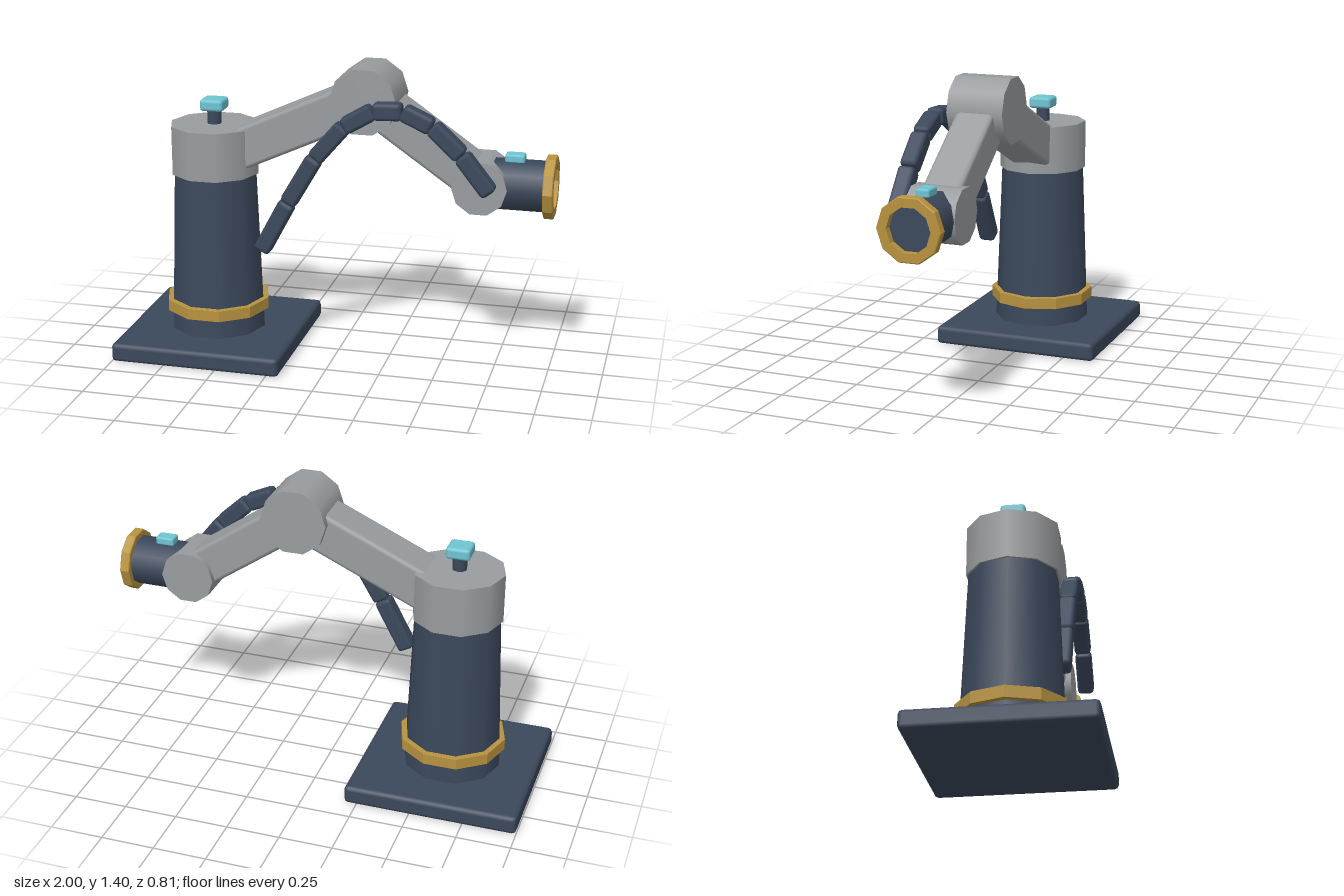
import * as THREE from 'three';
import { RoundedBoxGeometry } from 'three/addons/geometries/RoundedBoxGeometry.js';

const SIDES = 10;

export function createModel() {
  const mat = (name, color) => {
    const m = new THREE.MeshStandardMaterial({ color });
    m.name = name;
    return m;
  };
  const navy = mat('navy', 0x3b485b);
  const grey = mat('grey', 0x9a9d9f);
  const gold = mat('gold', 0xb8933f);
  const cyan = mat('cyan', 0x6fc4d3);

  const model = new THREE.Group();
  model.name = 'robotArm';

  const add = (name, geometry, material, x, y, z = 0) => {
    const mesh = new THREE.Mesh(geometry, material);
    mesh.name = name;
    mesh.position.set(x, y, z);
    model.add(mesh);
    return mesh;
  };
  const box = (w, h, d, bevel) => new RoundedBoxGeometry(w, h, d, 1, bevel);

  // Ten-sided cylinders: upright ones and z-axis ones have corners at +-x
  const upright = (rTop, rBottom, h) =>
    new THREE.CylinderGeometry(rTop, rBottom, h, SIDES).rotateY(Math.PI / 2);
  const crosswise = (r, d) => upright(r, r, d).rotateX(Math.PI / 2);

  // Faceted ring with a rectangular, slightly chamfered section
  const ring = (inner, outer, h, c = 0.004) => {
    const b = h / 2;
    const profile = [
      [inner, -b], [outer - c, -b], [outer, -b + c],
      [outer, b - c], [outer - c, b], [inner, b], [inner, -b],
    ].map(([x, y]) => new THREE.Vector2(x, y));
    const g = new THREE.LatheGeometry(profile, SIDES).toNonIndexed();
    g.computeVertexNormals();
    return g;
  };

  // Bevelled bar laid between two points in the xy plane
  const bar = (name, a, b, z, thick, depth, bevel, material) => {
    const dx = b[0] - a[0], dy = b[1] - a[1];
    const g = box(Math.hypot(dx, dy), thick, depth, bevel);
    const mesh = add(name, g, material, (a[0] + b[0]) / 2, (a[1] + b[1]) / 2, z);
    mesh.rotation.z = Math.atan2(dy, dx);
  };

  // Base and column
  const cx = -0.597;
  add('basePlate', box(0.81, 0.088, 0.81, 0.02), navy, -0.595, 0.044);
  add('column', upright(0.2, 0.23, 0.77), navy, cx, 0.465);
  add('columnRing', ring(0.21, 0.25, 0.055, 0.001).rotateY(Math.PI / 2), gold, cx, 0.207);
  add('shoulder', upright(0.21, 0.21, 0.23), grey, cx, 0.965);

  // Push button on the shoulder
  add('buttonStem', new THREE.CylinderGeometry(0.033, 0.033, 0.08, SIDES), navy, cx, 1.115);
  add('buttonCap', box(0.112, 0.055, 0.112, 0.015), cyan, cx, 1.172);

  // Arm links and joints
  const elbow = [0.14, 1.252], wrist = [0.67, 0.885];
  bar('upperArm', [-0.55, 0.937], elbow, 0, 0.19, 0.2, 0.02, grey);
  add('elbowJoint', crosswise(0.155, 0.265), grey, ...elbow);
  bar('forearm', elbow, wrist, 0, 0.18, 0.18, 0.02, grey);
  add('wristJoint', crosswise(0.126, 0.235), grey, ...wrist);

  // Tool end
  const tool = new THREE.CylinderGeometry(0.116, 0.116, 0.295, SIDES).rotateZ(Math.PI / 2);
  add('toolTube', tool, navy, 0.818, 0.885);
  add('toolFlange', ring(0.1, 0.145, 0.046).rotateZ(Math.PI / 2), gold, 0.977, 0.885);
  add('toolButton', box(0.09, 0.04, 0.066, 0.01), cyan, 0.815, 1.01);

  // Segmented cable along the front side of the arm
  const path = [
    [-0.322, 0.537], [-0.195, 0.775], [-0.067, 0.995], [0.066, 1.15], [0.2, 1.23],
    [0.333, 1.235], [0.467, 1.175], [0.6, 1.052], [0.73, 0.888],
  ];
  for (let i = 0; i < path.length - 1; i++) {
    bar(`cableSegment${i + 1}`, path[i], path[i + 1], 0.175, 0.078, 0.08, 0.018, navy);
  }

  return model;
}
